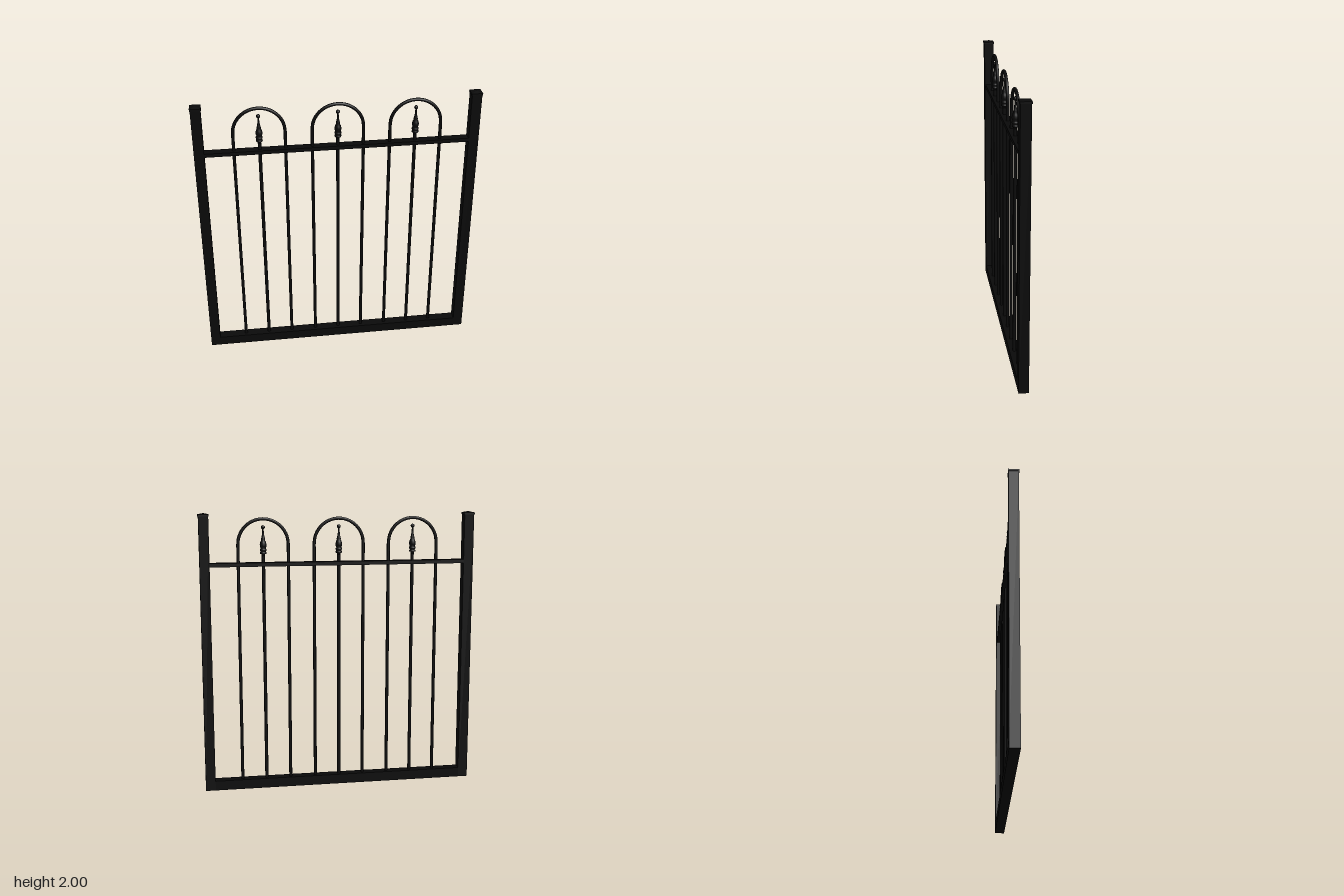
import * as THREE from 'three';

export function createModel() {
  const gate = new THREE.Group();
  gate.name = 'gate';
  const iron = new THREE.MeshStandardMaterial({ color: 0x0a0a0a });
  iron.name = 'blackIron';

  const add = (name, geometry, x = 0, y = 0, z = 0) => {
    const mesh = new THREE.Mesh(geometry, iron);
    mesh.name = name;
    mesh.position.set(x, y, z);
    gate.add(mesh);
    return mesh;
  };

  // Square posts with overhanging, slightly peaked caps
  for (const [side, s] of [['left', 1], ['right', -1]]) {
    add(side + 'Post', new THREE.BoxGeometry(0.07, 1.98, 0.07), s * 0.95, 0.99);
    add(side + 'CapPlate', new THREE.BoxGeometry(0.077, 0.014, 0.077), s * 0.95, 1.984);
    const peak = new THREE.ConeGeometry(0.077 / Math.SQRT2, 0.009, 4, 1, true);
    peak.rotateY(Math.PI / 4);
    const flatPeak = peak.toNonIndexed();
    flatPeak.computeVertexNormals();
    add(side + 'CapPeak', flatPeak, s * 0.95, 1.9955);
  }

  // Horizontal rails
  add('bottomRail', new THREE.BoxGeometry(1.83, 0.07, 0.07), 0, 0.035);
  add('upperRail', new THREE.BoxGeometry(1.83, 0.027, 0.06), 0, 1.64);

  // Hoop: two legs joined by a semicircular arch
  const radius = 0.177, spring = 1.78;
  const hoopPath = new THREE.CurvePath();
  const arch = [];
  for (let i = 0; i <= 12; i++) {
    const a = Math.PI * (1 - i / 12);
    arch.push(new THREE.Vector3(radius * Math.cos(a), spring + radius * Math.sin(a), 0));
  }
  hoopPath.add(new THREE.LineCurve3(new THREE.Vector3(-radius, 0.06, 0), arch[0]));
  hoopPath.add(new THREE.CatmullRomCurve3(arch));
  hoopPath.add(new THREE.LineCurve3(arch[12], new THREE.Vector3(radius, 0.06, 0)));
  const hoop = new THREE.TubeGeometry(hoopPath, 200, 0.0115, 10);

  // Turned finial profile: collars, bulb, slim neck and ball
  const profile = [
    [0, 1.70], [0.012, 1.70], [0.013, 1.712], [0.023, 1.714], [0.023, 1.724],
    [0.017, 1.729], [0.024, 1.738], [0.024, 1.746], [0.018, 1.752], [0.023, 1.765],
    [0.024, 1.778], [0.020, 1.795], [0.014, 1.807], [0.015, 1.815], [0.012, 1.826],
    [0.008, 1.845], [0.005, 1.885], [0.005, 1.893],
  ].map(([r, y]) => new THREE.Vector2(r, y));
  const finial = new THREE.LatheGeometry(profile, 16);
  const ball = new THREE.SphereGeometry(0.014, 14, 10);
  const spindle = new THREE.CylinderGeometry(0.012, 0.012, 1.65, 12);

  // Three hoops, each around a spindle with its finial
  for (const x of [-0.538, 0, 0.538]) {
    add('hoop', hoop, x);
    add('spindle', spindle, x, 0.885);
    add('finial', finial, x);
    add('finialBall', ball, x, 1.899);
  }
  return gate;
}
